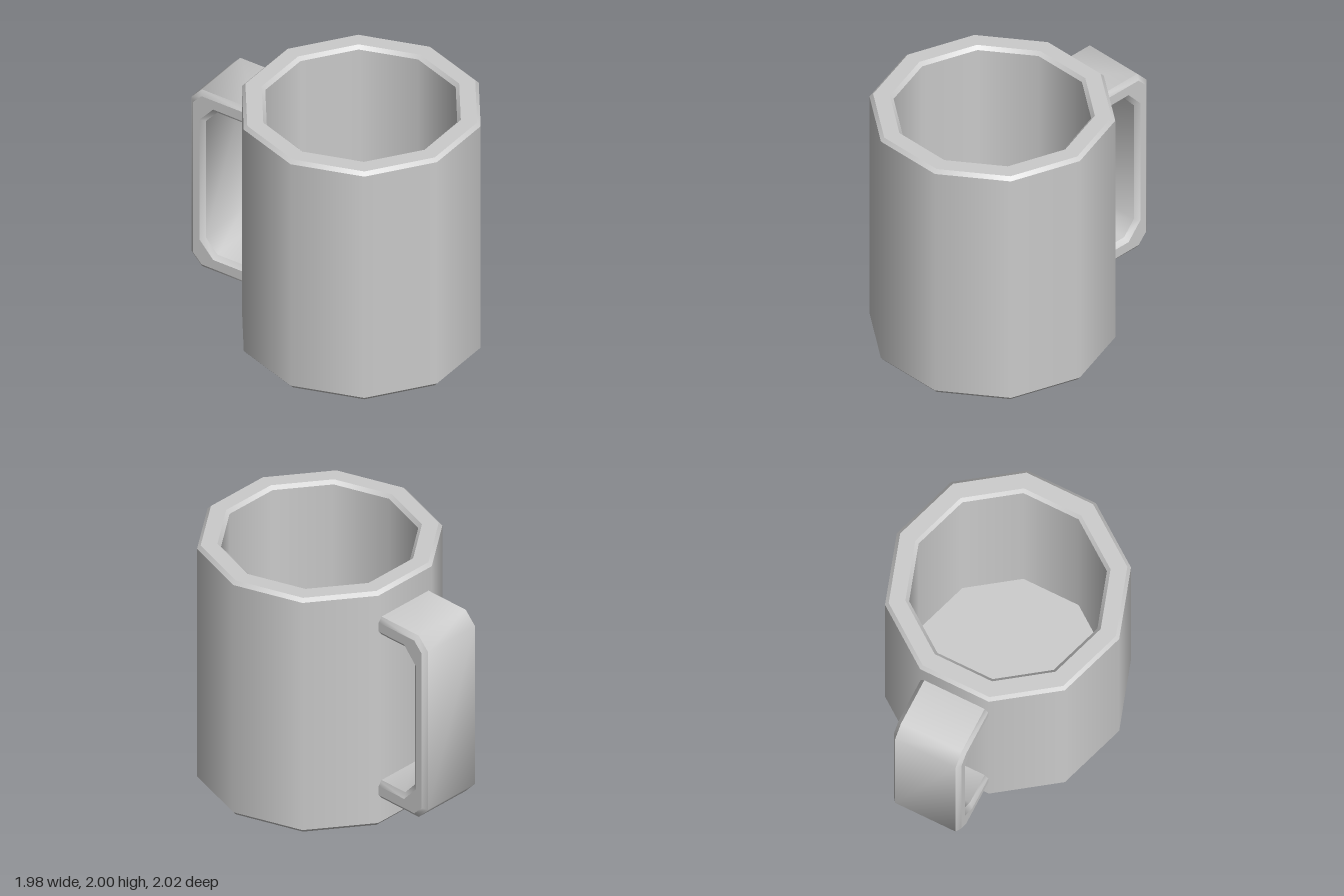
import * as THREE from 'three';
import { mergeGeometries, toCreasedNormals } from 'three/addons/utils/BufferGeometryUtils.js';

const SIDES = 10;
const TURN = THREE.MathUtils.degToRad(-7.5); // first corner of the body, from +x towards +z
const CENTRE = [0.096, 0, 0.118];

// Revolves a profile; smooth around the axis, sharp between profile bands
function facetedLathe(profile) {
  const bands = [];
  for (let i = 0; i + 1 < profile.length; i++) {
    const pair = [profile[i], profile[i + 1]].map(([r, y]) => new THREE.Vector2(r, y));
    bands.push(new THREE.LatheGeometry(pair, SIDES, Math.PI / 2 - TURN));
  }
  return mergeGeometries(bands);
}

// Smooths the corners along each strip of an extrusion, keeping its bevel edges sharp
function smoothStrips(geometry) {
  const position = geometry.attributes.position;
  const normal = geometry.attributes.normal;
  const strips = new Map();
  for (let i = 0; i < position.count; i += 3) {
    const key = Math.round(normal.getZ(i) * 20) || 0;
    if (!strips.has(key)) strips.set(key, []);
    for (let k = i; k < i + 3; k++) {
      strips.get(key).push(position.getX(k), position.getY(k), position.getZ(k));
    }
  }
  return mergeGeometries([...strips.values()].map((points) => {
    const strip = new THREE.BufferGeometry();
    strip.setAttribute('position', new THREE.Float32BufferAttribute(points, 3));
    return toCreasedNormals(strip, 1.0);
  }));
}

export function createModel() {
  const model = new THREE.Group();
  model.name = 'mug';
  const material = new THREE.MeshStandardMaterial({ color: 0xcccccc });

  // Ten-sided cup with chamfered base and rim, hollow inside
  const cup = new THREE.Mesh(facetedLathe([
    [0, 0], [0.875, 0], [0.902, 0.03], [0.902, 1.973], [0.875, 2],
    [0.752, 2], [0.725, 1.973], [0.725, 0.16], [0, 0.16],
  ]), material);
  cup.name = 'cup';
  cup.position.set(...CENTRE);
  model.add(cup);

  // Handle outline: upper half as (distance from axis, height above middle), mirrored below
  const middle = 1.005;
  const outer = [[0.78, 0.738], [1.215, 0.738], [1.288, 0.66]];
  const inner = [[0.78, 0.66], [1.113, 0.66], [1.233, 0.525]];
  const up = ([r, h]) => new THREE.Vector2(r, middle + h);
  const down = ([r, h]) => new THREE.Vector2(r, middle - h);
  const outline = new THREE.Shape([
    ...outer.map(down),
    ...outer.map(up).reverse(),
    ...inner.map(up),
    ...inner.map(down).reverse(),
  ]);

  // Wide handle strap with bevelled edges, centred on one face of the cup
  const depth = 0.49;
  const strap = new THREE.ExtrudeGeometry(outline, {
    depth, bevelEnabled: true, bevelThickness: 0.03, bevelSize: 0.037, bevelSegments: 1,
  });
  strap.translate(0, 0, -depth / 2);
  const handle = new THREE.Mesh(smoothStrips(strap), material);
  handle.name = 'handle';
  handle.position.set(...CENTRE);
  handle.rotation.y = -(TURN + (6.5 / SIDES) * Math.PI * 2);
  model.add(handle);

  return model;
}
